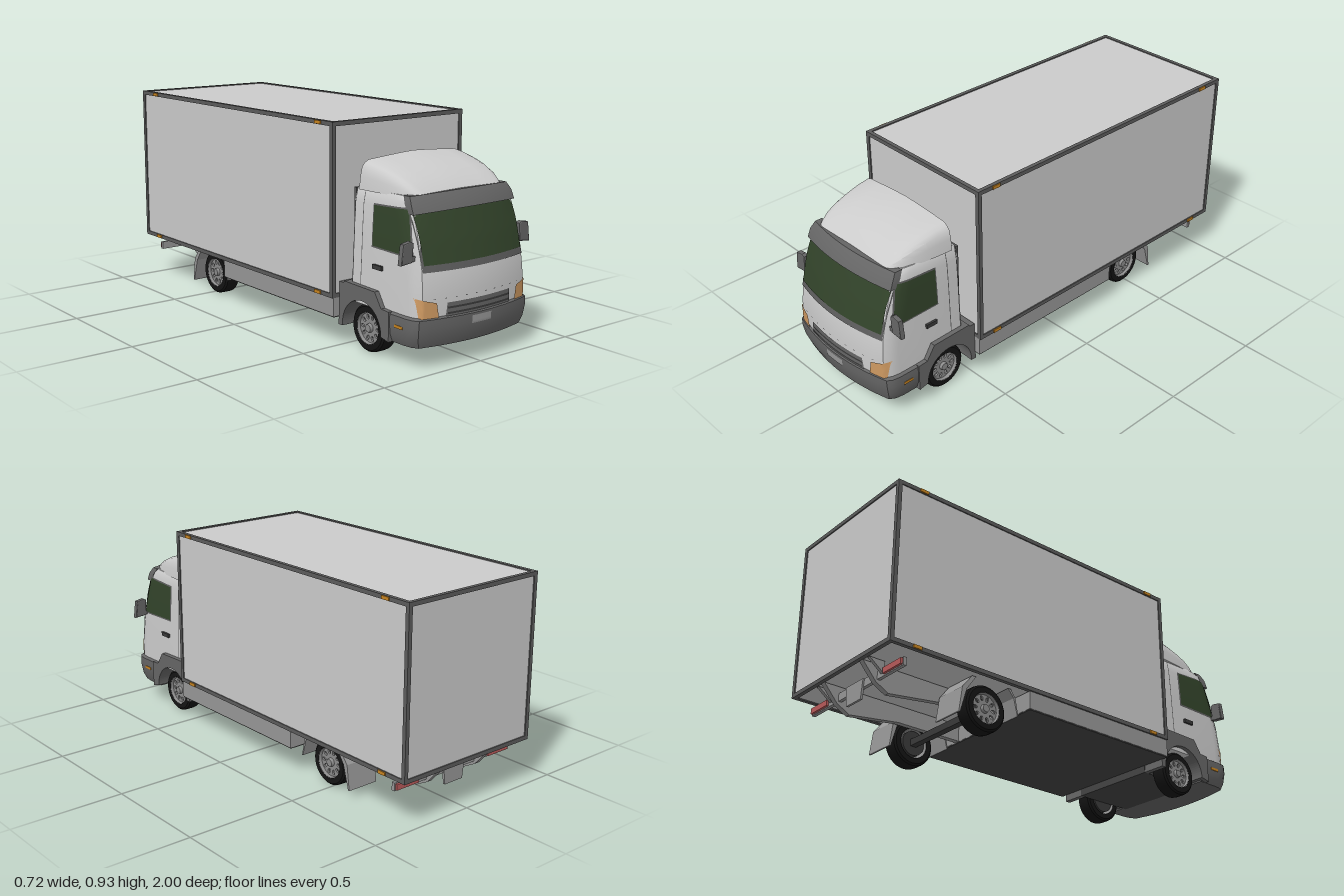
import * as THREE from 'three';
import { toCreasedNormals } from 'three/addons/utils/BufferGeometryUtils.js';

const mat = (color) => new THREE.MeshStandardMaterial({ color, side: THREE.DoubleSide });
const M = {
  panel: mat(0xcccccc), cab: mat(0xdcdcdc), trim: mat(0x666666), frame: mat(0x5c5c5c), under: mat(0x444444),
  skirt: mat(0x979797), glass: mat(0x32432a), lamp: mat(0xcf9a62), amber: mat(0xc88420), red: mat(0xb85a5a),
  tyre: mat(0x141414), rim: mat(0x8c8c8c), dark: mat(0x3a3a3a),
};

function add(parent, name, geo, material) {
  const mesh = new THREE.Mesh(geo, material);
  mesh.name = name;
  parent.add(mesh);
  return mesh;
}
// box given by its min/max on every axis
function box(parent, name, material, x0, x1, y0, y1, z0, z1) {
  const g = new THREE.BoxGeometry(x1 - x0, y1 - y0, z1 - z0);
  g.translate((x0 + x1) / 2, (y0 + y1) / 2, (z0 + z1) / 2);
  return add(parent, name, g, material);
}
// skin closed rings of [x,y,z] points, with flat end caps
function loft(rings) {
  const pos = [], n = rings[0].length;
  const tri = (...p) => p.forEach((q) => pos.push(...q));
  for (let i = 0; i < rings.length - 1; i++) for (let j = 0; j < n; j++) {
    const k = (j + 1) % n, a = rings[i], b = rings[i + 1];
    tri(a[j], a[k], b[k]);
    tri(a[j], b[k], b[j]);
  }
  for (const [ring, top] of [[rings[0], false], [rings.at(-1), true]]) {
    const c = [0, 1, 2].map((d) => ring.reduce((s, p) => s + p[d], 0) / n);
    for (let j = 0; j < n; j++) {
      const k = (j + 1) % n;
      top ? tri(c, ring[j], ring[k]) : tri(c, ring[k], ring[j]);
    }
  }
  const g = new THREE.BufferGeometry();
  g.setAttribute('position', new THREE.Float32BufferAttribute(pos, 3));
  return toCreasedNormals(g, 0.6);
}
// piecewise linear lookup in rows sorted by their first column
function lookup(rows, t, col) {
  if (t <= rows[0][0]) return rows[0][col];
  for (let i = 1; i < rows.length; i++) if (t <= rows[i][0]) {
    const a = rows[i - 1], b = rows[i];
    return a[col] + (b[col] - a[col]) * (t - a[0]) / (b[0] - a[0]);
  }
  return rows.at(-1)[col];
}
// cab levels: height, half width, front z
const CAB = [[0.2, 0.298, 0.992], [0.3, 0.295, 0.993], [0.39, 0.291, 0.983], [0.5, 0.287, 0.955],
  [0.61, 0.281, 0.92], [0.65, 0.275, 0.9], [0.668, 0.265, 0.875]];
const BUMPER = [[0.09, 0.296, 0.978], [0.12, 0.308, 0.99], [0.17, 0.313, 1], [0.205, 0.311, 1], [0.212, 0.3, 0.992]];
const bow = (x) => 0.5 * x * x;
const corner = (w, f) => [[w, f - 0.1], [w - 0.005, f - 0.065], [w - 0.02, f - bow(w - 0.02)]];

function planRing([y, w, f], back) {
  const half = [[w, back], ...corner(w, f)];
  const ring = half.map(([x, z]) => [-x, y, z]);
  for (let i = 1; i < 12; i++) {
    const x = (w - 0.02) * (i / 6 - 1);
    ring.push([x, y, f - bow(x)]);
  }
  half.reverse().forEach(([x, z]) => ring.push([x, y, z]));
  return ring;
}
function frontZ(table, x, y) {
  const w = lookup(table, y, 1), f = lookup(table, y, 2), a = Math.abs(x);
  return a < w - 0.02 ? f - bow(x) : lookup(corner(w, f).reverse(), a, 1);
}
function sideX(z, y) {
  const w = lookup(CAB, y, 1), f = lookup(CAB, y, 2);
  return lookup(corner(w, f).map(([x, q]) => [q, x]), z, 1);
}
// four-cornered patch laid on a surface (corners run around from lower left)
function patch(c, place) {
  const g = new THREE.PlaneGeometry(1, 1, 14, 8), p = g.attributes.position;
  for (let i = 0; i < p.count; i++) {
    const u = p.getX(i) + 0.5, v = p.getY(i) + 0.5;
    const q = [0, 1].map((d) => (1 - v) * ((1 - u) * c[0][d] + u * c[1][d]) + v * ((1 - u) * c[3][d] + u * c[2][d]));
    p.setXYZ(i, ...place(q[0], q[1]));
  }
  g.computeVertexNormals();
  return g;
}
const onFront = (c, off, table = CAB) => patch(c, (x, y) => [x, y, frontZ(table, x, y) + off]);
const onSide = (c, off) => patch(c, (z, y) => [sideX(z, y) + off, y, z]);
const rect = (w, y0, y1) => [[-w, y0], [w, y0], [w, y1], [-w, y1]];

// shape drawn in (z, y), extruded inwards from x = outer
function plate(shape, outer, depth) {
  const g = new THREE.ExtrudeGeometry(shape, { depth, bevelEnabled: false, curveSegments: 20 });
  return g.rotateY(-Math.PI / 2).translate(outer, 0, 0);
}
const poly = (pts) => new THREE.Shape(pts.map((p) => new THREE.Vector2(...p)));

function makeWheel(z) {
  const wheel = new THREE.Group();
  wheel.name = 'wheel';
  const lathe = (pts) => toCreasedNormals(new THREE.LatheGeometry(pts.map((p) => new THREE.Vector2(...p)), 32), 0.6).rotateZ(-Math.PI / 2);
  add(wheel, 'tyre', lathe([[0.066, -0.037], [0.09, -0.037], [0.098, -0.03], [0.1, -0.018], [0.1, 0.018], [0.098, 0.03], [0.09, 0.037], [0.066, 0.037]]), M.tyre);
  add(wheel, 'rimBarrel', lathe([[0.067, -0.037], [0.062, -0.01], [0.062, 0.025], [0.068, 0.038]]), M.rim);
  const disc = new THREE.Shape().absarc(0, 0, 0.063, 0, Math.PI * 2);
  for (let i = 0; i < 10; i++) {
    const a = i * Math.PI / 5;
    disc.holes.push(new THREE.Path().absellipse(Math.cos(a) * 0.046, Math.sin(a) * 0.046, 0.011, 0.007, 0, Math.PI * 2, false, a));
  }
  add(wheel, 'rimDisc', plate(disc, 0.024, 0.008), M.rim);
  add(wheel, 'hub', new THREE.CylinderGeometry(0.016, 0.02, 0.018, 20).rotateZ(-Math.PI / 2).translate(0.028, 0, 0), M.rim);
  add(wheel, 'brakeDrum', new THREE.CylinderGeometry(0.055, 0.055, 0.03, 24).rotateZ(Math.PI / 2).translate(-0.02, 0, 0), M.dark);
  wheel.position.set(0.247, 0.1, z);
  return wheel;
}

// everything that appears on both flanks, built for +x
function makeFlank(name) {
  const s = new THREE.Group();
  s.name = name;
  s.add(makeWheel(0.645), makeWheel(-0.48));
  // wheel arch
  const arch = new THREE.Shape().moveTo(0.5, 0.09).lineTo(0.525, 0.09);
  arch.absarc(0.645, 0.1, 0.12, Math.PI, 0, true);
  arch.lineTo(0.81, 0.09).lineTo(0.81, 0.212).lineTo(0.765, 0.215).lineTo(0.725, 0.275).lineTo(0.535, 0.28).lineTo(0.505, 0.21);
  add(s, 'wheelArch', plate(arch, 0.318, 0.11), M.trim);
  // door
  add(s, 'doorWindow', onSide([[0.905, 0.445], [0.68, 0.45], [0.68, 0.612], [0.868, 0.622]], 0.004), M.glass);
  add(s, 'windowSeal', onSide([[0.912, 0.438], [0.674, 0.443], [0.674, 0.618], [0.872, 0.628]], 0.002), M.frame);
  box(s, 'doorHandle', M.dark, 0.285, 0.302, 0.36, 0.378, 0.69, 0.745);
  for (const z of [0.615, 0.565]) add(s, 'doorSeam', onSide([[z + 0.002, 0.28], [z - 0.002, 0.28], [z - 0.002, 0.655], [z + 0.002, 0.655]], 0.002), M.frame);
  // mirror
  const mirror = poly([[0.298, 0.43], [0.347, 0.425], [0.337, 0.5], [0.303, 0.506], [0.292, 0.5]]);
  add(s, 'mirror', new THREE.ExtrudeGeometry(mirror, { depth: 0.012, bevelSize: 0.004, bevelThickness: 0.006, bevelSegments: 2 }).translate(0, 0, 0.9), M.trim);
  box(s, 'mirrorArm', M.trim, 0.27, 0.305, 0.43, 0.45, 0.895, 0.915);
  // lamps and markers
  add(s, 'headlight', onFront([[0.207, 0.21], [0.282, 0.21], [0.294, 0.287], [0.222, 0.264]].map(([x, y], i) => [[0.207, 0.21], [0.285, 0.21], [0.292, 0.288], [0.217, 0.268]][i]), 0.005), M.lamp);
  box(s, 'sideIndicator', M.amber, 0.3, 0.315, 0.158, 0.17, 0.84, 0.885);
  for (const z of [0.41, -0.875]) for (const y of [0.916, 0.214]) box(s, 'markerLamp', M.amber, 0.34, 0.36, y - 0.007, y + 0.007, z - 0.02, z + 0.02);
  // rear chassis rail and mudflaps
  add(s, 'rearRail', plate(poly([[-0.3, 0.205], [-0.3, 0.13], [-0.62, 0.13], [-0.86, 0.097], [-0.92, 0.13], [-0.985, 0.205]]), 0.15, 0.025), M.skirt);
  add(s, 'rearMudflap', plate(poly([[-0.555, 0.205], [-0.6, 0.14], [-0.63, 0.035], [-0.637, 0.035], [-0.622, 0.145], [-0.575, 0.205]]), 0.31, 0.15), M.skirt);
  add(s, 'frontMudflap', plate(poly([[-0.335, 0.095], [-0.34, 0.095], [-0.36, 0.17], [-0.39, 0.205], [-0.375, 0.205], [-0.35, 0.17]]), 0.31, 0.15), M.skirt);
  box(s, 'tailLamp', M.red, 0.2, 0.32, 0.145, 0.17, -0.925, -0.915);
  add(s, 'bumperBracket', plate(poly([[-0.91, 0.15], [-0.91, 0.205], [-0.98, 0.205]]), 0.19, 0.015), M.skirt);
  return s;
}

function makeCab() {
  const cab = new THREE.Group();
  cab.name = 'cab';
  add(cab, 'cabShell', loft(CAB.map((r) => planRing(r, 0.56))), M.cab);
  add(cab, 'bumper', loft(BUMPER.map((r) => planRing(r, 0.78))), M.trim);
  box(cab, 'backPanel', M.frame, -0.278, 0.278, 0.26, 0.664, 0.55, 0.562);
  box(cab, 'rearSill', M.trim, -0.318, 0.318, 0.2, 0.272, 0.505, 0.565);
  box(cab, 'floor', M.under, -0.21, 0.21, 0.09, 0.21, 0.5, 0.8);
  // windscreen, visor, grille, plate
  add(cab, 'windscreenSeal', onFront(rect(0.27, 0.388, 0.62), 0.003), M.frame);
  add(cab, 'windscreen', onFront([[-0.263, 0.415], [0.263, 0.415], [0.266, 0.612], [-0.266, 0.612]], 0.006), M.glass);
  const visor = (y, w, f0, f1) => {
    const ring = [];
    for (let i = 0; i <= 12; i++) { const x = w * (i / 6 - 1); ring.push([x, y - 0.12 * x * x, f1 - bow(x)]); }
    for (let i = 12; i >= 0; i--) { const x = w * (i / 6 - 1); ring.push([x, y - 0.12 * x * x, f0 - bow(x)]); }
    return ring;
  };
  add(cab, 'sunVisor', loft([visor(0.613, 0.274, 0.9, 0.934), visor(0.65, 0.272, 0.88, 0.918), visor(0.678, 0.262, 0.86, 0.895)]), M.trim);
  add(cab, 'grille', onFront([[-0.175, 0.21], [0.175, 0.21], [0.168, 0.264], [-0.168, 0.264]], 0.003), M.trim);
  for (const y of [0.218, 0.24]) add(cab, 'grilleSlot', onFront(rect(0.168, y, y + 0.008), 0.005), M.dark);
  add(cab, 'numberPlate', onFront(rect(0.052, 0.164, 0.196), 0.002, BUMPER), M.skirt);
  for (let i = 0; i < 10; i++) {
    const x = (i - 4.5) * 0.05;
    add(cab, 'bonnetSeam', onFront([[x - 0.005, 0.281], [x + 0.005, 0.281], [x + 0.005, 0.284], [x - 0.005, 0.284]], 0.002), M.frame);
  }
  // roof deflector: rows of z, half width, rise
  const rows = [[0.585, 0.283, 0.13], [0.64, 0.28, 0.121], [0.7, 0.274, 0.106], [0.76, 0.266, 0.085], [0.81, 0.255, 0.06], [0.85, 0.238, 0.032], [0.875, 0.215, 0.008]];
  const arc = [[1, 0], [0.98, 0.4], [0.95, 0.68], [0.9, 0.81], [0.83, 0.885], [0.55, 0.93], [0.28, 0.97], [0, 1]];
  const section = [...arc, ...arc.slice(0, -1).reverse().map(([x, y]) => [-x, y])];
  add(cab, 'roofDeflector', loft(rows.map(([z, w, h]) => section.map(([x, y]) => [x * w, 0.66 + y * h, z]))), M.cab);
  return cab;
}

function makeCargo() {
  const cargo = new THREE.Group();
  cargo.name = 'cargoBox';
  const X = 0.355, Y0 = 0.205, Y1 = 0.925, Z0 = -1, Z1 = 0.505, t = 0.018, i = 0.005;
  box(cargo, 'panels', M.panel, -X + i, X - i, Y0 + i, Y1 - i, Z0 + i, Z1 - i);
  // edge rails
  for (const a of [0, 1]) for (const b of [0, 1]) {
    const x = a ? X - t : -X, y = b ? Y1 - t : Y0, z = b ? Z1 - t : Z0, y2 = a ? Y1 - t : Y0;
    box(cargo, 'longRail', M.frame, x, x + t, y, y + t, Z0, Z1);
    box(cargo, 'cornerPost', M.frame, x, x + t, Y0, Y1, z, z + t);
    box(cargo, 'crossRail', M.frame, -X, X, y2, y2 + t, z, z + t);
  }
  return cargo;
}

export function createModel() {
  const truck = new THREE.Group();
  truck.name = 'boxTruck';
  truck.add(makeCab(), makeCargo());
  const left = makeFlank('leftSide'), right = makeFlank('rightSide');
  right.scale.x = -1;
  truck.add(left, right);
  // chassis between the axles and at the tail
  box(truck, 'sideSkirts', M.skirt, -0.348, 0.348, 0.128, 0.206, -0.305, 0.505);
  box(truck, 'underTray', M.under, -0.346, 0.346, 0.123, 0.128, -0.304, 0.504);
  box(truck, 'rearAxle', M.dark, -0.22, 0.22, 0.085, 0.115, -0.495, -0.465);
  box(truck, 'rearBar', M.skirt, -0.325, 0.325, 0.14, 0.175, -0.915, -0.9);
  add(truck, 'rearPlateHolder', new THREE.ExtrudeGeometry(poly([[-0.06, 0.175], [-0.05, 0.09], [0.05, 0.09], [0.06, 0.175]]), { depth: 0.01, bevelEnabled: false }).translate(0, 0, -0.922), M.skirt);
  return truck;
}
